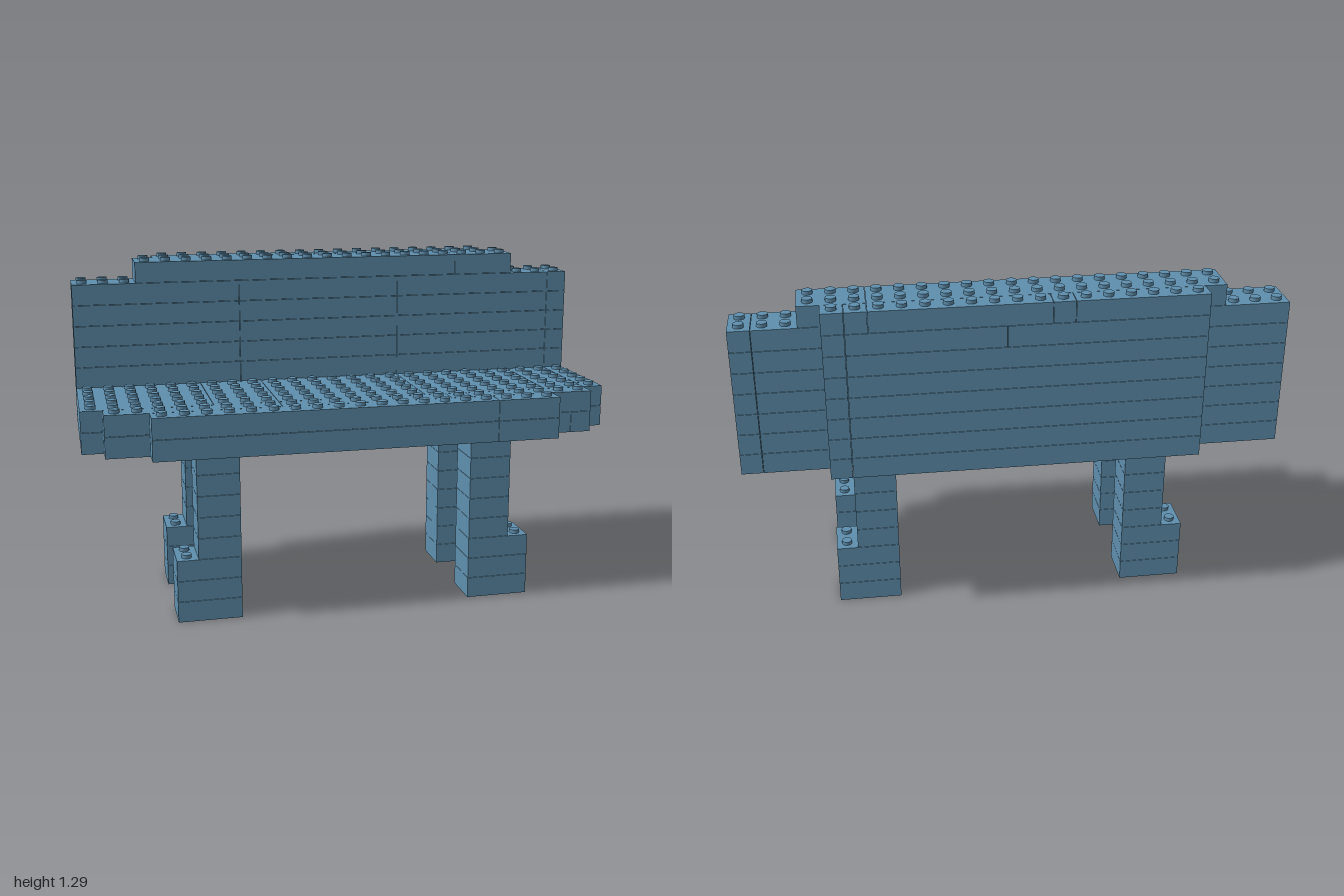
import * as THREE from 'three';
import { mergeGeometries } from 'three/addons/utils/BufferGeometryUtils.js';

const U = 0.08;      // stud pitch and layer height
const GAP = 0.0015;  // hairline joint between bricks

export function createModel() {
  const group = new THREE.Group();
  const sandBlue = new THREE.MeshStandardMaterial({ color: 0x5f8fae });

  const add = (name, parts) => {
    const mesh = new THREE.Mesh(mergeGeometries(parts), sandBlue);
    mesh.name = name;
    group.add(mesh);
  };

  const brick = (x0, x1, y0, y1, z0, z1) =>
    new THREE.BoxGeometry(x1 - x0 - GAP, y1 - y0 - GAP, z1 - z0 - GAP)
      .translate((x0 + x1) / 2, (y0 + y1) / 2, (z0 + z1) / 2);

  // one layer of bricks, split along x at the given seams
  const row = (seams, y, z0, z1) =>
    seams.slice(1).map((x, i) => brick(seams[i], x, y, y + U, z0, z1));

  // grid of studs filling a rectangle at height y
  const studs = (x0, x1, y, z0, z1) => {
    const out = [];
    for (let x = x0 + U / 2; x < x1 - 0.01; x += U)
      for (let z = z0 + U / 2; z < z1 - 0.01; z += U)
        out.push(new THREE.CylinderGeometry(0.019, 0.019, 0.014, 16).translate(x, y + 0.006, z));
    return out;
  };

  // seat: two layers with a stepped front edge
  const seat = [];
  for (const y of [0.64, 0.72]) {
    const upper = y > 0.7;
    seat.push(
      ...row(upper ? [-1, -0.52, -0.28, 0.28, 0.76, 0.92] : [-1, -0.36, 0.28, 0.92], y, -0.16, 0.24),
      brick(0.92, 1, y, y + U, -0.16, 0.16),
      brick(0.92, 1, y, y + U, 0.16, 0.24),
      ...row(upper ? [-0.92, -0.28, 0.36, 0.44, 0.92] : [-0.92, -0.28, 0.36, 0.84, 0.92], y, 0.24, 0.32),
      ...row([-0.76, 0.52, 0.76], y, 0.32, 0.4));
  }
  add('seat', seat);
  add('seatStuds', [
    ...studs(-1, 1, 0.8, -0.16, 0.24),
    ...studs(-0.92, 0.92, 0.8, 0.24, 0.32),
    ...studs(-0.76, 0.76, 0.8, 0.32, 0.4)]);

  // backrest wall, seven layers
  const wall = [];
  for (let i = 0; i < 7; i++)
    wall.push(...row([-1, -0.36, 0.28, 0.92, 1], 0.64 + i * U, -0.32, -0.16));
  add('backrest', wall);

  // narrower cap along the top
  add('backrestCap', row([-0.76, 0.52, 0.76], 1.2, -0.32, -0.16));

  // rear panel, eight layers
  const panel = [];
  for (let i = 0; i < 8; i++) {
    const seams = i === 7 ? [-0.68, -0.2, -0.12, 0.52, 0.6, 0.68]
      : i === 6 ? [-0.68, 0.04, 0.6, 0.68] : [-0.68, 0.6, 0.68];
    panel.push(...row(seams, 0.64 + i * U, -0.4, -0.32));
  }
  add('rearPanel', panel);

  add('backrestStuds', [
    ...studs(-0.76, 0.76, 1.28, -0.32, -0.16),
    ...studs(-0.68, 0.68, 1.28, -0.4, -0.32),
    ...studs(-1, -0.76, 1.2, -0.32, -0.16),
    ...studs(0.76, 1, 1.2, -0.32, -0.16)]);

  // four legs, the lowest three layers widened outward into feet
  for (const [end, z] of [['front', 0.16], ['back', -0.24]])
    for (const [side, s] of [['Left', 1], ['Right', -1]]) {
      const leg = [];
      for (let i = 0; i < 8; i++) {
        const outer = i < 3 ? 0.68 : 0.6;
        leg.push(brick(s > 0 ? 0.44 : -outer, s > 0 ? outer : -0.44, i * U, (i + 1) * U, z, z + 0.16));
      }
      leg.push(...studs(s > 0 ? 0.6 : -0.68, s > 0 ? 0.68 : -0.6, 0.24, z, z + 0.16));
      add(end + side + 'Leg', leg);
    }

  return group;
}
